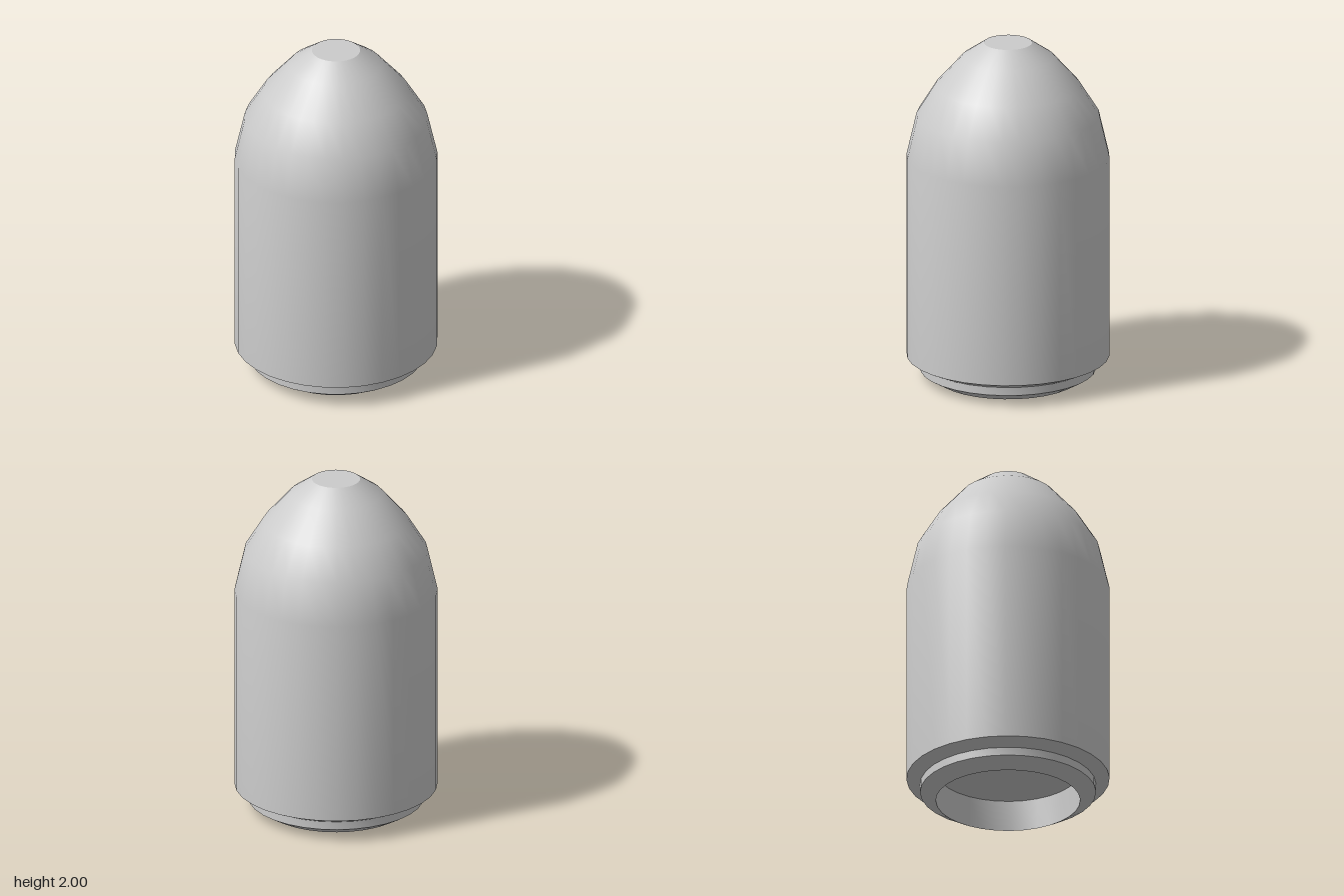
import * as THREE from 'three';
import { toCreasedNormals } from 'three/addons/utils/BufferGeometryUtils.js';

const SEGMENTS = 32;

// Closed profile [radius, height], from the middle of the recess round to the tip
const PROFILE = [
  // recess in the base
  [0, 0.185], [0.41, 0.185], [0.41, 0],
  // bevelled rim and groove
  [0.5, 0.052], [0.5, 0.1], [0.577, 0.136],
  // straight side
  [0.577, 1.325],
  // rounded nose with a flat tip
  [0.52, 1.572], [0.412, 1.745], [0.263, 1.913], [0.137, 2], [0, 2],
];

export function createModel() {
  const group = new THREE.Group();
  group.name = 'roundNosedSlug';

  const points = PROFILE.map(([r, y]) => new THREE.Vector2(r, y));
  const geometry = toCreasedNormals(new THREE.LatheGeometry(points, SEGMENTS), 0.5);
  const body = new THREE.Mesh(geometry, new THREE.MeshStandardMaterial({ color: 0xcccccc }));
  body.name = 'body';
  group.add(body);

  return group;
}
